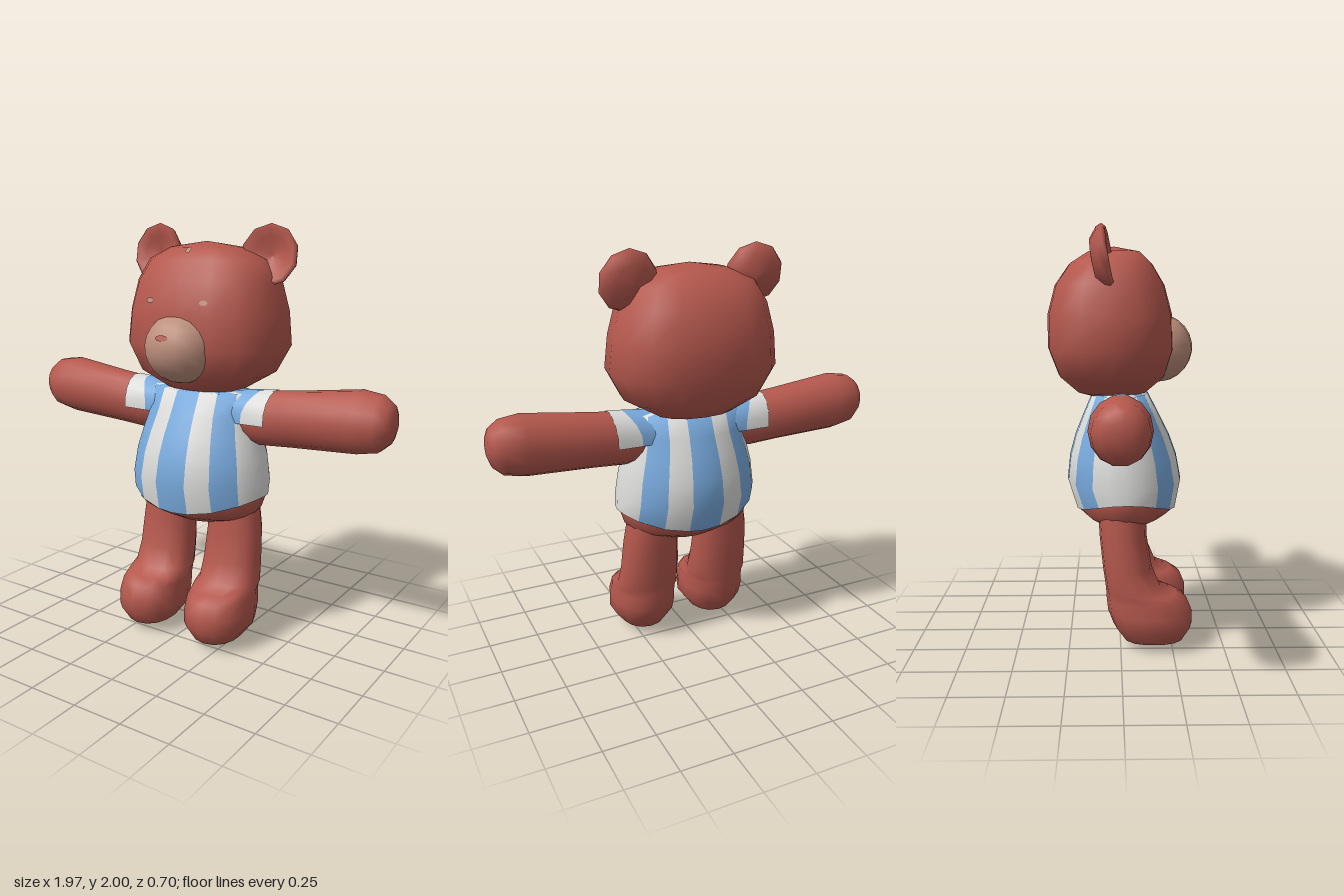
import * as THREE from 'three';
import { mergeVertices } from 'three/addons/utils/BufferGeometryUtils.js';

const RAD = Math.PI / 180;
const around = (n) => Array.from({ length: n }, (_, i) => (i * 360) / n);

// Lofts rings [height, centre x, radius x, centre z, radius z, rise at the sides].
// Angles are in degrees from +z towards +x; power > 2 gives squarer rings.
// slotOf(row, angle) picks the material slot of each quad.
function loft(rings, angles, { closed = true, power = 2, slotOf = () => 0 } = {}) {
  const pos = [], slots = [[], []], n = angles.length;
  const bend = (v) => Math.sign(v) * Math.abs(v) ** (2 / power);
  for (const [y, cx, rx, cz, rz, rise = 0] of rings) {
    for (const a of angles) {
      const s = Math.sin(a * RAD), c = Math.cos(a * RAD);
      pos.push(cx + rx * bend(s), y + rise * s * s, cz + rz * bend(c));
    }
  }
  for (let i = 0; i < rings.length - 1; i++) {
    for (let j = 0; j < (closed ? n : n - 1); j++) {
      const k = (j + 1) % n, a = i * n + j, b = i * n + k;
      const next = k === 0 ? angles[0] + 360 : angles[k];
      slots[slotOf(i, (angles[j] + next) / 2)].push(a, b, b + n, a, b + n, a + n);
    }
  }
  const g = new THREE.BufferGeometry();
  g.setAttribute('position', new THREE.Float32BufferAttribute(pos, 3));
  g.setIndex([...slots[0], ...slots[1]]);
  if (slots[1].length) {
    g.addGroup(0, slots[0].length, 0);
    g.addGroup(slots[0].length, slots[1].length, 1);
  }
  const merged = mergeVertices(g, 1e-4);
  merged.computeVertexNormals();
  return merged;
}

// Mirrors an indexed geometry across x = 0 and keeps its faces outward.
function mirrored(geometry) {
  const g = geometry.clone().scale(-1, 1, 1), ix = g.index.array;
  for (let i = 0; i < ix.length; i += 3) [ix[i], ix[i + 1]] = [ix[i + 1], ix[i]];
  g.computeVertexNormals();
  return g;
}

export function createModel() {
  const group = new THREE.Group();
  const material = (name, color, side = THREE.FrontSide) => {
    const m = new THREE.MeshStandardMaterial({ color, side });
    m.name = name;
    return m;
  };
  const fur = material('redFur', 0xb5584d);
  const tan = material('tanMuzzle', 0xbd8f7c);
  const blue = material('blueStripe', 0x78aadd, THREE.DoubleSide);
  const white = material('whiteStripe', 0xdcdcdb, THREE.DoubleSide);

  const add = (name, geometry, mat) => {
    const mesh = new THREE.Mesh(geometry, mat);
    mesh.name = name;
    group.add(mesh);
    return mesh;
  };
  const addPair = (name, geometry, mat) => {
    add('left' + name, geometry, mat);
    add('right' + name, mirrored(geometry), mat);
  };

  // Head
  const head = add('head', loft([
    [1.18, 0, 0, -0.04, 0],
    [1.23, 0, 0.2, -0.04, 0.17],
    [1.31, 0, 0.34, -0.04, 0.26],
    [1.44, 0, 0.41, -0.045, 0.305],
    [1.6, 0, 0.392, -0.05, 0.302],
    [1.74, 0, 0.357, -0.05, 0.265],
    [1.84, 0, 0.3, -0.045, 0.2],
    [1.895, 0, 0.18, -0.03, 0.13],
    [1.922, 0, 0, -0.03, 0],
  ], around(16), { power: 2.4 }), fur);

  // Muzzle
  const muzzleGeo = new THREE.SphereGeometry(1, 16, 12);
  muzzleGeo.scale(0.18, 0.165, 0.17).rotateX(-0.15).translate(0, 1.44, 0.182);
  const muzzle = add('muzzle', muzzleGeo, tan);

  // Small face spots laid flat on the surface below them
  const spot = (name, target, x, y, w, h, mat) => {
    target.updateMatrixWorld();
    const ray = new THREE.Raycaster(new THREE.Vector3(x, y, 2), new THREE.Vector3(0, 0, -1));
    const hit = ray.intersectObject(target)[0];
    const mesh = add(name, new THREE.CircleGeometry(1, 8).scale(w, h, 1), mat);
    mesh.position.copy(hit.point).addScaledVector(hit.face.normal, 0.005);
    mesh.lookAt(mesh.position.clone().add(hit.face.normal));
  };
  spot('leftEye', head, 0.148, 1.655, 0.022, 0.013, tan);
  spot('rightEye', head, -0.148, 1.655, 0.022, 0.013, tan);
  spot('foreheadSpot', head, -0.005, 1.88, 0.015, 0.02, tan);
  spot('nose', muzzle, 0, 1.5, 0.032, 0.015, fur);

  // Cupped ears
  const cup = [[0, -0.045], [0.09, -0.036], [0.135, 0], [0.145, 0.025], [0.128, 0.042], [0.09, 0.012], [0, -0.012]];
  const ear = new THREE.LatheGeometry(cup.map(([r, y]) => new THREE.Vector2(r, y)), 10);
  ear.rotateX(Math.PI / 2 - 0.16).rotateY(0.08).translate(0.315, 1.857, -0.09);
  addPair('Ear', ear, fur);

  // Lower body
  add('hips', loft([
    [0.565, 0, 0, 0.01, 0],
    [0.575, 0, 0.16, 0.01, 0.11],
    [0.62, 0, 0.29, 0.02, 0.185],
    [0.66, 0, 0.328, 0.028, 0.235],
    [0.74, 0, 0.355, 0.025, 0.25],
    [0.85, 0, 0.33, 0.02, 0.24],
  ], around(20)), fur);

  // Striped shirt; columns break where the colour changes
  const quarter = [0, 13, 33, 57, 74];
  const columns = [
    ...quarter, 90, ...quarter.slice(1).reverse().map((a) => 180 - a),
    ...quarter.map((a) => a + 180), 270, ...quarter.slice(1).reverse().map((a) => 360 - a),
  ];
  const stripe = (row, angle) => {
    const s = Math.abs(Math.sin(angle * RAD));
    return s < 0.22 || (s > 0.55 && s < 0.83) ? 0 : 1;
  };
  add('shirt', loft([
    [0.655, 0, 0.364, 0.029, 0.244, 0.08],
    [0.8, 0, 0.362, 0.02, 0.28],
    [0.92, 0, 0.345, 0.015, 0.262],
    [1.02, 0, 0.318, 0.01, 0.23],
    [1.12, 0, 0.29, 0.005, 0.185],
    [1.225, 0, 0.28, 0, 0.135],
    [1.24, 0, 0, 0, 0],
  ], columns, { slotOf: stripe }), [blue, white]);

  // Arms, lofted upright and laid out sideways
  const sideways = (g) => g.rotateZ(-Math.PI / 2);
  addPair('Arm', sideways(loft([
    [0.2, -1.11, 0.11, 0, 0.09],
    [0.34, -1.113, 0.13, 0, 0.105],
    [0.5, -1.127, 0.133, -0.002, 0.113],
    [0.82, -1.155, 0.145, -0.01, 0.132],
    [0.92, -1.158, 0.128, -0.01, 0.118],
    [0.965, -1.162, 0.092, -0.01, 0.085],
    [0.982, -1.165, 0.05, -0.01, 0.045],
    [0.984, -1.165, 0, -0.01, 0],
  ], around(14))), fur);

  // Sleeves cover the upper half of the arm only
  const sleeveArc = Array.from({ length: 10 }, (_, i) => -187 + (i * 194) / 9);
  addPair('Sleeve', sideways(loft([
    [0.17, -1.112, 0.122, 0, 0.11],
    [0.275, -1.113, 0.136, 0, 0.113, 0.06],
    [0.4, -1.116, 0.139, 0, 0.118, 0.008],
  ], sleeveArc, { closed: false, slotOf: (row) => row })), [blue, white]);

  // Legs with forward feet
  addPair('Leg', loft([
    [0.7, 0.18, 0.13, 0.005, 0.115],
    [0.55, 0.195, 0.14, 0.012, 0.113],
    [0.4, 0.195, 0.149, 0.032, 0.118],
    [0.3, 0.197, 0.155, 0.06, 0.132],
    [0.275, 0.197, 0.155, 0.1, 0.17],
    [0.245, 0.198, 0.158, 0.125, 0.193],
    [0.18, 0.2, 0.164, 0.142, 0.203],
    [0.11, 0.2, 0.162, 0.156, 0.19],
    [0.04, 0.2, 0.11, 0.16, 0.145],
    [0.01, 0.195, 0.04, 0.17, 0.05],
    [0, 0.195, 0, 0.18, 0],
  ].reverse(), around(14), { power: 2.2 }), fur);

  return group;
}
